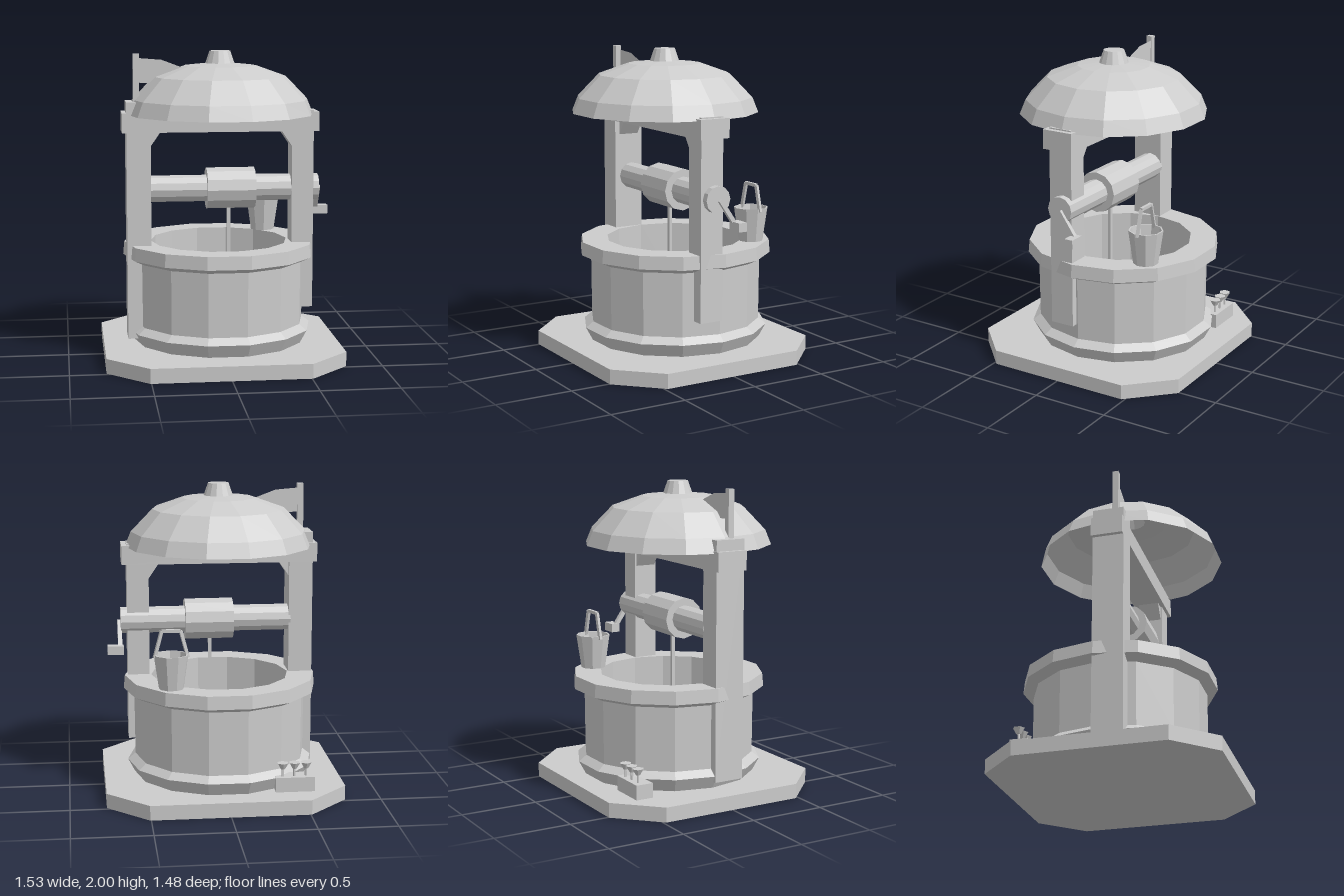
import * as THREE from 'three';

const stone = new THREE.MeshStandardMaterial({ color: 0xcccccc, flatShading: true, side: THREE.DoubleSide });
stone.name = 'plain grey';

const SIDES = 14;

export function createModel() {
  const model = new THREE.Group();
  model.name = 'well';

  const add = (name, geometry, x = 0, y = 0, z = 0, parent = model) => {
    const mesh = new THREE.Mesh(geometry, stone);
    mesh.name = name;
    mesh.position.set(x, y, z);
    parent.add(mesh);
    return mesh;
  };
  // box given by its minimum and maximum on each axis
  const box = (name, x0, x1, y0, y1, z0, z1) =>
    add(name, new THREE.BoxGeometry(x1 - x0, y1 - y0, z1 - z0),
      (x0 + x1) / 2, (y0 + y1) / 2, (z0 + z1) / 2);
  // faceted lathe with flat sides towards front and back
  const turned = (name, points, z) =>
    add(name, new THREE.LatheGeometry(points.map(p => new THREE.Vector2(...p)), SIDES, Math.PI / SIDES), 0, 0, z);
  const polygon = (points) => new THREE.Shape(points.map(p => new THREE.Vector2(...p)));
  // straight square bar between two points
  const bar = (name, a, b, w, parent) => {
    const p = new THREE.Vector3(...a), q = new THREE.Vector3(...b);
    const mesh = add(name, new THREE.BoxGeometry(w, w, p.distanceTo(q)), 0, 0, 0, parent);
    mesh.position.copy(p).add(q).multiplyScalar(0.5);
    mesh.quaternion.setFromUnitVectors(new THREE.Vector3(0, 0, 1), q.sub(p).normalize());
  };

  // base slab with cut corners
  const slab = new THREE.ExtrudeGeometry(polygon([
    [0.507, -0.74], [0.767, -0.48], [0.767, 0.48], [0.507, 0.74],
    [-0.507, 0.74], [-0.767, 0.48], [-0.767, -0.48], [-0.507, -0.74],
  ]), { depth: 0.095, bevelEnabled: false });
  slab.rotateX(-Math.PI / 2);
  add('baseSlab', slab);

  // wall with foot, rim and hollow inside
  turned('wellWall', [
    [0.565, 0.095], [0.61, 0.18], [0.56, 0.22], [0.563, 0.635], [0.632, 0.668],
    [0.624, 0.753], [0.45, 0.753], [0.45, 0.395], [0, 0.395],
  ], -0.025);

  // posts of slightly different length, reaching into the roof
  box('rightPost', -0.612, -0.457, 0.14, 1.68, -0.035, 0.167);
  box('leftPost', 0.46, 0.602, 0.32, 1.618, -0.015, 0.145);

  // crossbeam and corner braces
  box('crossbeam', -0.64, 0.635, 1.485, 1.61, -0.04, 0.167);
  for (const side of [-1, 1]) {
    const brace = new THREE.ExtrudeGeometry(polygon([
      [side * 0.462, 1.385], [side * 0.39, 1.49], [side * 0.462, 1.49],
    ]), { depth: 0.14, bevelEnabled: false });
    add(side < 0 ? 'rightBrace' : 'leftBrace', brace, 0, 0, -0.005);
  }

  // hollow dome roof running up into its finial
  turned('domeRoof', [
    [0.609, 1.595], [0.57, 1.69], [0.43, 1.835], [0.235, 1.905], [0.095, 1.92],
    [0.067, 2], [0, 2],
  ], 0.05);

  // flag
  box('flagPole', -0.565, -0.525, 1.6, 1.985, 0.08, 0.12);
  const flag = new THREE.ShapeGeometry(polygon([
    [-0.53, 1.8], [-0.44, 1.795], [-0.34, 1.755], [-0.22, 1.74],
    [-0.22, 1.885], [-0.38, 1.945], [-0.53, 1.957],
  ]));
  add('flag', flag, 0, 0, 0.087);

  // winding axle, drum and rope
  const roller = (name, x0, x1, r) => {
    const g = new THREE.CylinderGeometry(r, r, x1 - x0, 12);
    g.rotateZ(Math.PI / 2);
    add(name, g, (x0 + x1) / 2, 1.107, 0.045);
  };
  roller('axle', -0.47, 0.645, 0.087);
  roller('drum', -0.09, 0.225, 0.135);
  box('rope', 0.047, 0.069, 0.39, 1.05, 0.034, 0.056);

  // crank and handle
  bar('crankArm', [0.652, 1.107, 0.04], [0.652, 0.94, -0.075], 0.028);
  box('crankHandle', 0.63, 0.735, 0.908, 0.965, -0.107, -0.048);

  // bucket standing on the rim
  const bucket = new THREE.Group();
  bucket.name = 'bucket';
  bucket.position.set(0.345, 0.753, -0.4);
  model.add(bucket);
  const pail = [[0, 0], [0.08, 0], [0.112, 0.22], [0.102, 0.22], [0.072, 0.02], [0, 0.02]];
  add('pail', new THREE.LatheGeometry(pail.map(p => new THREE.Vector2(...p)), 9), 0, 0, 0, bucket);
  const bail = [[-0.105, 0.2, 0], [-0.06, 0.37, 0], [0.06, 0.37, 0], [0.105, 0.2, 0]];
  for (let i = 0; i < 3; i++) bar('bucketHandle', bail[i], bail[i + 1], 0.02, bucket);

  // planter with three small flowers
  box('planter', -0.553, -0.303, 0.095, 0.19, -0.57, -0.455);
  for (let i = 0; i < 3; i++) {
    const x = -0.5 + i * 0.075, z = -0.53 - i * 0.003;
    add('flowerStem', new THREE.CylinderGeometry(0.008, 0.008, 0.06, 5), x, 0.215, z);
    add('flowerHead', new THREE.CylinderGeometry(0.038, 0.015, 0.04, 6), x, 0.26, z);
  }

  return model;
}
